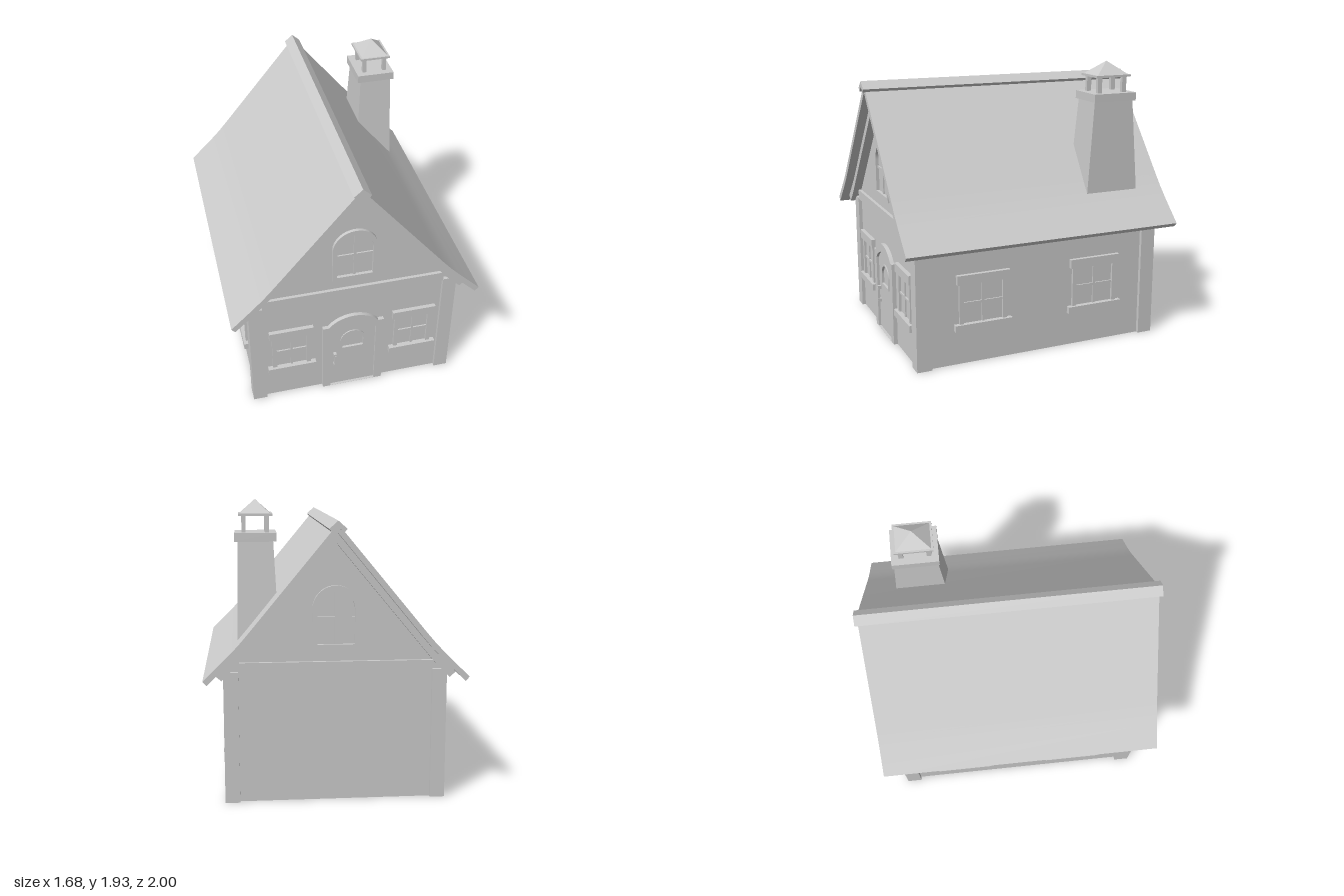
import * as THREE from 'three';
import { toCreasedNormals } from 'three/addons/utils/BufferGeometryUtils.js';

const grey = new THREE.MeshStandardMaterial({ color: 0xcccccc });
const WALL_X = 0.69, WALL_Z = 0.86;

function add(parent, name, geometry) {
  const mesh = new THREE.Mesh(geometry, grey);
  mesh.name = name;
  parent.add(mesh);
  return mesh;
}

// Box given by its limits on each axis
function box(parent, name, x0, x1, y0, y1, z0, z1) {
  const mesh = add(parent, name, new THREE.BoxGeometry(x1 - x0, y1 - y0, z1 - z0));
  mesh.position.set((x0 + x1) / 2, (y0 + y1) / 2, (z0 + z1) / 2);
  return mesh;
}

// Shape in x, y pushed out from z0 to z1, smooth over shallow bends
function slab(parent, name, shape, z0, z1) {
  const geo = new THREE.ExtrudeGeometry(shape, { depth: z1 - z0, bevelEnabled: false, curveSegments: 16 });
  geo.translate(0, 0, z0);
  return add(parent, name, toCreasedNormals(geo, 0.5));
}

const polygon = (pts) => new THREE.Shape(pts.map(([x, y]) => new THREE.Vector2(x, y)));

// Symmetric band: outer and inner half profiles run from the ridge to the eave
function gableBand(outer, inner) {
  const flip = (pts) => pts.map(([x, y]) => [-x, y]);
  return polygon([...flip(outer).reverse(), ...outer.slice(1), ...[...inner].reverse(), ...flip(inner).slice(1)]);
}

// Round-topped opening
function arch(Type, halfWidth, bottom, spring) {
  const s = new Type();
  s.moveTo(-halfWidth, bottom);
  s.lineTo(halfWidth, bottom);
  s.lineTo(halfWidth, spring);
  s.absarc(0, spring, halfWidth, 0, Math.PI, false);
  s.lineTo(-halfWidth, bottom);
  return s;
}

// Low segmental arch over a rectangle
function lowArch(s, halfWidth, bottom, spring, rise) {
  const r = (halfWidth * halfWidth + rise * rise) / (2 * rise);
  const a = Math.asin(halfWidth / r);
  s.moveTo(-halfWidth, bottom);
  s.lineTo(halfWidth, bottom);
  s.lineTo(halfWidth, spring);
  s.absarc(0, spring + rise - r, r, Math.PI / 2 - a, Math.PI / 2 + a, false);
  s.lineTo(-halfWidth, bottom);
  return s;
}

// Square window with lintel, sill, jambs and crossed glazing bars; wall plane at z = 0
function squareWindow(w) {
  const g = new THREE.Group();
  g.name = 'window';
  const jamb = w / 2 - 0.018, inner = jamb - 0.03;
  box(g, 'lintel', -w / 2, w / 2, 0.557, 0.62, -0.01, 0.028);
  box(g, 'sill', -w / 2 - 0.015, w / 2 + 0.015, 0.235, 0.283, -0.01, 0.035);
  for (const s of [-1, 1]) {
    const mid = s * (jamb + inner) / 2;
    box(g, 'jamb', mid - 0.015, mid + 0.015, 0.283, 0.557, -0.01, 0.017);
  }
  box(g, 'verticalBar', -0.008, 0.008, 0.283, 0.557, -0.01, 0.01);
  box(g, 'crossBar', -inner, inner, 0.412, 0.428, -0.01, 0.01);
  return g;
}

function gableWindow() {
  const g = new THREE.Group();
  g.name = 'gableWindow';
  const frame = arch(THREE.Shape, 0.15, 1.0, 1.255);
  frame.holes.push(arch(THREE.Path, 0.12, 1.03, 1.25));
  slab(g, 'archFrame', frame, -0.01, 0.022);
  box(g, 'verticalBar', -0.008, 0.008, 1.03, 1.37, -0.01, 0.01);
  box(g, 'crossBar', -0.12, 0.12, 1.19, 1.206, -0.01, 0.01);
  return g;
}

function door() {
  const g = new THREE.Group();
  g.name = 'door';
  // Surround with shoulders beside the arch
  const surround = new THREE.Shape();
  surround.moveTo(-0.215, 0);
  surround.lineTo(0.215, 0);
  surround.lineTo(0.215, 0.583);
  surround.lineTo(0.175, 0.583);
  surround.absarc(0, 0.437, 0.228, 0.695, Math.PI - 0.695, false);
  surround.lineTo(-0.215, 0.583);
  surround.holes.push(lowArch(new THREE.Path(), 0.16, 0.001, 0.53, 0.075));
  slab(g, 'doorSurround', surround, -0.01, 0.028);
  // Leaf with a small arched light
  const leaf = lowArch(new THREE.Shape(), 0.16, 0.001, 0.53, 0.075);
  leaf.holes.push(arch(THREE.Path, 0.078, 0.352, 0.425));
  slab(g, 'doorLeaf', leaf, -0.01, 0.01);
  const rim = arch(THREE.Shape, 0.087, 0.345, 0.425);
  rim.holes.push(arch(THREE.Path, 0.075, 0.357, 0.425));
  slab(g, 'doorLightFrame', rim, -0.01, 0.017);
  // Handle
  box(g, 'handlePlate', -0.138, -0.118, 0.295, 0.32, 0.005, 0.035);
  box(g, 'handleGrip', -0.134, -0.122, 0.21, 0.305, 0.025, 0.037);
  box(g, 'handleFoot', -0.137, -0.119, 0.2, 0.222, 0.005, 0.035);
  return g;
}

// Four-sided tapered block between two rectangles [x0, x1, z0, z1]
function taper(parent, name, y0, y1, low, high) {
  const geo = new THREE.BoxGeometry(1, 1, 1);
  const p = geo.attributes.position;
  for (let i = 0; i < p.count; i++) {
    const top = p.getY(i) > 0, r = top ? high : low;
    p.setXYZ(i, p.getX(i) < 0 ? r[0] : r[1], top ? y1 : y0, p.getZ(i) < 0 ? r[2] : r[3]);
  }
  geo.computeVertexNormals();
  return add(parent, name, geo);
}

function chimney() {
  const g = new THREE.Group();
  g.name = 'chimney';
  taper(g, 'chimneyShaft', 1.03, 1.68, [0.355, 0.622, -0.778, -0.388], [0.387, 0.61, -0.73, -0.438]);
  box(g, 'chimneyCollar', 0.365, 0.632, 1.67, 1.725, -0.743, -0.425);
  for (const x of [0.425, 0.573]) {
    for (const z of [-0.676, -0.488]) box(g, 'capPost', x - 0.013, x + 0.013, 1.72, 1.832, z - 0.016, z + 0.016);
  }
  box(g, 'capSlab', 0.39, 0.606, 1.83, 1.845, -0.713, -0.452);
  const cap = new THREE.ConeGeometry(Math.SQRT1_2, 0.088, 4, 1).toNonIndexed();
  cap.rotateY(Math.PI / 4);
  cap.scale(0.19, 1, 0.235);
  cap.computeVertexNormals();
  add(g, 'capRoof', cap).position.set(0.498, 1.889, -0.583);
  return g;
}

export function createModel() {
  const house = new THREE.Group();
  house.name = 'cottage';

  // Walls with both gables
  slab(house, 'walls', polygon([[-WALL_X, 0], [WALL_X, 0], [WALL_X, 0.87], [0.62, 0.95], [0, 1.69],
    [-0.62, 0.95], [-WALL_X, 0.87]]), -WALL_Z, WALL_Z);

  // Corner posts
  for (const sx of [-1, 1]) {
    for (const sz of [-1, 1]) {
      const post = box(house, 'cornerPost', -0.0475, 0.0475, 0, 0.86, -0.0525, 0.0525);
      post.position.x = sx * 0.6675;
      post.position.z = sz * 0.8325;
    }
  }

  // Gable beams and windows, front and back
  for (const s of [-1, 1]) {
    const gable = new THREE.Group();
    gable.name = 'gable';
    box(gable, 'gableBeam', -0.622, 0.622, 0.85, 0.92, -0.02, 0.022);
    gable.add(gableWindow());
    gable.position.z = s * WALL_Z;
    gable.rotation.y = s > 0 ? 0 : Math.PI;
    house.add(gable);
  }

  // Roof: flared covering, boards beneath it, ridge cap
  const top = [[0, 1.795], [0.56, 1.118], [0.62, 1.048], [0.69, 0.975], [0.84, 0.828]];
  const under = [[0, 1.74], [0.54, 1.085], [0.6, 1.015], [0.67, 0.942], [0.815, 0.8]];
  slab(house, 'roof', gableBand(top, under), -0.98, 0.98);
  const boardTop = [[0, 1.745], [0.54, 1.09], [0.6, 1.02], [0.67, 0.947], [0.767, 0.852]];
  const boardLow = [[0, 1.67], [0.56, 0.995], [0.62, 0.922], [0.67, 0.868], [0.725, 0.815]];
  slab(house, 'roofBoards', gableBand(boardTop, boardLow), -0.92, 0.92);
  slab(house, 'ridgeCap', gableBand([[0, 1.815], [0.056, 1.765]], [[0, 1.775], [0.037, 1.742]]), -1, 1);

  house.add(chimney());

  // Door and front windows
  const frontDoor = door();
  frontDoor.position.z = WALL_Z;
  house.add(frontDoor);
  for (const s of [-1, 1]) {
    const front = squareWindow(0.305);
    front.position.set(s * 0.432, 0, WALL_Z);
    house.add(front);
    // Two windows on each side wall
    for (const z of [-0.415, 0.415]) {
      const side = squareWindow(0.375);
      side.position.set(s * WALL_X, 0, z);
      side.rotation.y = s * Math.PI / 2;
      house.add(side);
    }
  }
  return house;
}
